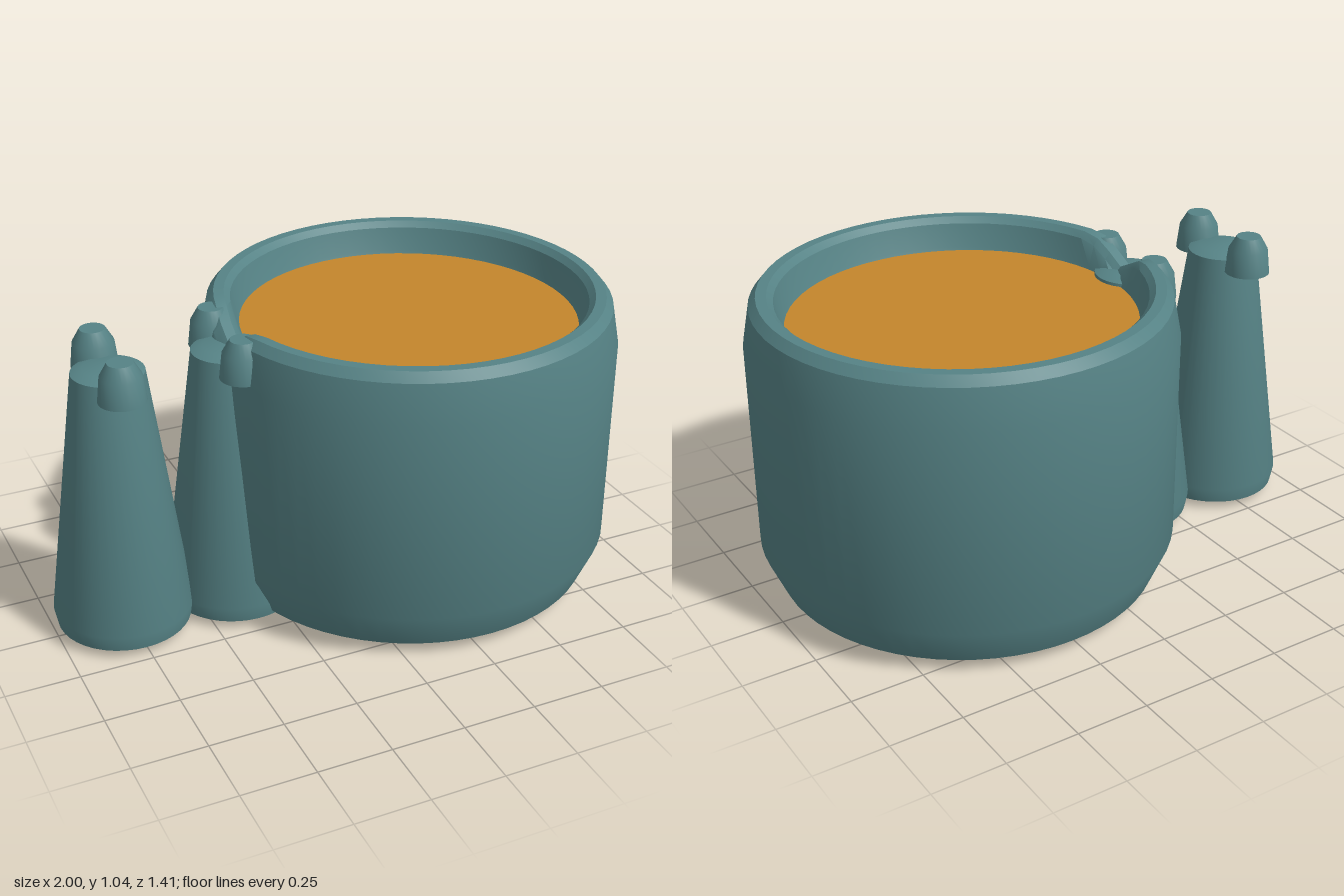
import * as THREE from 'three';
import { toCreasedNormals } from 'three/addons/utils/BufferGeometryUtils.js';

const teal = new THREE.MeshStandardMaterial({ color: 0x568386 });
teal.name = 'teal';
const amber = new THREE.MeshStandardMaterial({ color: 0xc4862c });
amber.name = 'amber';

function lathe(profile, segments) {
  return new THREE.LatheGeometry(profile.map(([r, y]) => new THREE.Vector2(r, y)), segments);
}

function part(name, geometry, material) {
  const mesh = new THREE.Mesh(toCreasedNormals(geometry, 0.5), material);
  mesh.name = name;
  return mesh;
}

export function createModel() {
  const model = new THREE.Group();
  model.name = 'tubWithTowers';

  // Tub: rounded wall, bevelled rim and a shallow recess
  const tubGeometry = lathe([
    [0, 0], [0.56, 0.004], [0.65, 0.045], [0.705, 0.175], [0.705, 0.88], [0.68, 1.01],
    [0.655, 1.04], [0.62, 1.04], [0.6, 1.02], [0.578, 0.94], [0.57, 0.92], [0, 0.92],
  ], 64);
  // Dip the rim where the inner tower meets it
  const p = tubGeometry.attributes.position;
  for (let i = 0; i < p.count; i++) {
    if (p.getX(i) < 0 && p.getY(i) > 0.95) {
      const dip = Math.max(0, 1 - Math.abs(p.getZ(i)) / 0.14);
      p.setY(i, p.getY(i) - 0.075 * dip);
    }
  }
  const tub = part('tub', tubGeometry, teal);
  tub.position.x = 0.295;
  model.add(tub);

  // Flat fill inside the rim
  const fill = part('fill', new THREE.CircleGeometry(0.572, 64).rotateX(-Math.PI / 2), amber);
  fill.position.set(0.295, 0.93, 0);
  model.add(fill);

  // Two tapered towers, each with a pair of knobs
  const towerGeometry = lathe([
    [0, 0.03], [0.225, 0.03], [0.235, 0.085], [0.119, 0.94], [0.08, 0.955], [0, 0.955],
  ], 40);
  const knobGeometry = lathe([
    [0, 0.9], [0.078, 0.9], [0.068, 0.985], [0.042, 1.03], [0, 1.03],
  ], 24);
  [['outerTower', -0.765], ['innerTower', -0.363]].forEach(([name, x]) => {
    const tower = new THREE.Group();
    tower.name = name;
    tower.position.x = x;
    tower.add(part('towerBody', towerGeometry, teal));
    for (const z of [-0.14, 0.14]) {
      const knob = part('knob', knobGeometry, teal);
      knob.position.z = z;
      tower.add(knob);
    }
    model.add(tower);
  });

  return model;
}
